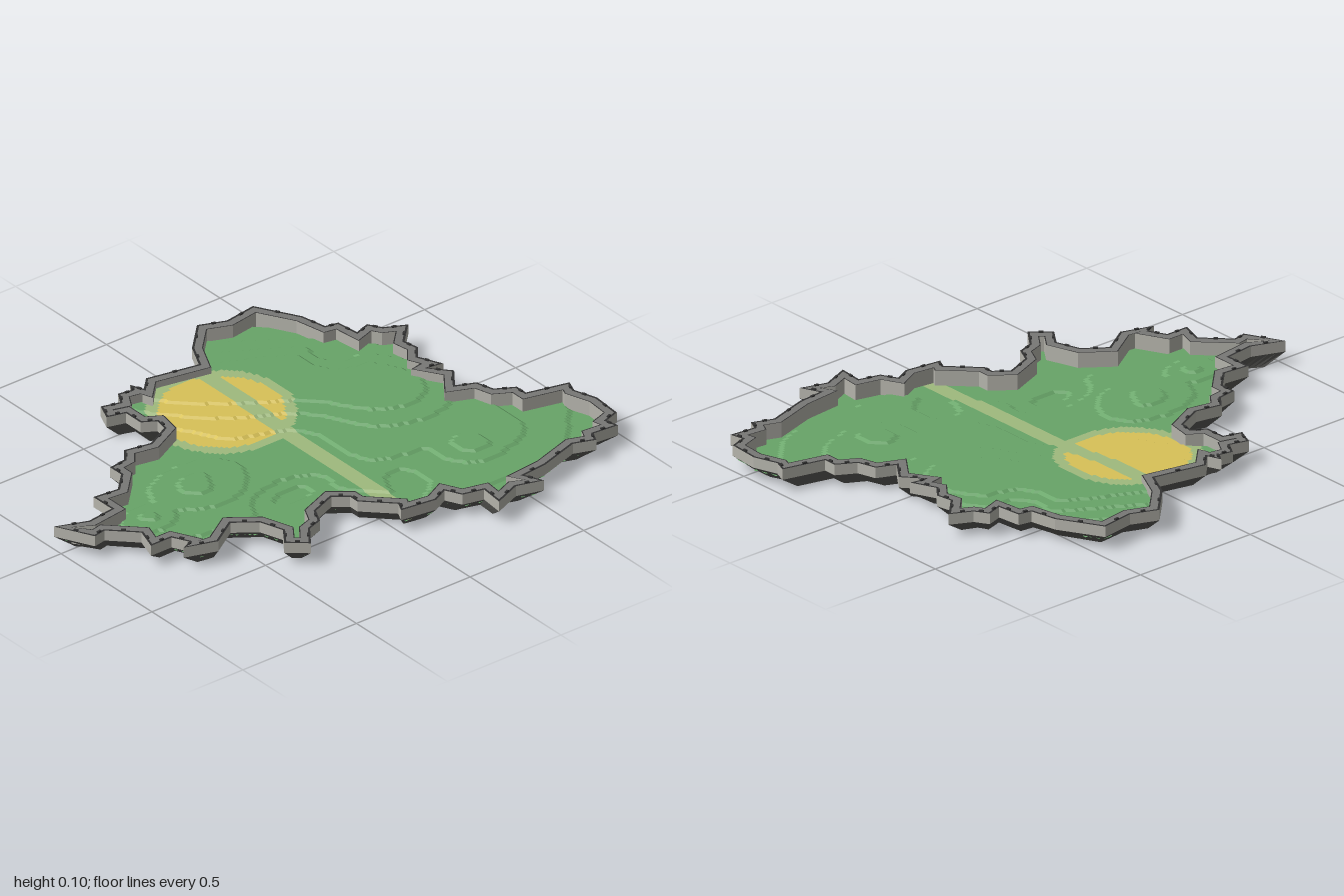
import * as THREE from 'three';

const mat = (name, color) => {
  const m = new THREE.MeshStandardMaterial({ color, side: THREE.DoubleSide, flatShading: true });
  m.name = name;
  return m;
};

// Coastline as x, z pairs, running clockwise seen from above
const COAST = [
  -1, -.04, -.88, .005, -.77, -.01, -.77, -.11, -.67, -.1, -.6, -.17, -.6, -.23, -.53, -.24, -.49, -.29,
  -.39, -.27, -.29, -.32, -.28, -.37, -.33, -.4, -.33, -.48, -.4, -.5, -.37, -.57, -.3, -.55, -.27, -.6,
  -.22, -.59, -.2, -.62, -.18, -.57, -.13, -.62, .07, -.58, .12, -.68, .23, -.79, .33, -.75, .46, -.77,
  .55, -.61, .57, -.51, .62, -.5, .63, -.41, .69, -.43, .72, -.38, .8, -.34, .72, -.26, .73, -.2,
  .69, -.15, .73, -.06, .67, -.07, .73, 0, .67, .08, .74, .11, .76, .18, .83, .22, .83, .27,
  .99, .31, .97, .36, 1, .45, .99, .57, .93, .59, .94, .64, .84, .63, .82, .67, .74, .64,
  .58, .69, .48, .7, .51, .77, .41, .74, .3, .785, .31, .69, .23, .67, .2, .61, .14, .64,
];
const outer = [];
for (let i = 0; i < COAST.length; i += 2) outer.push([COAST[i], COAST[i + 1]]);
// South-west inlets
outer.push([0, .62], [.02, .58], [-.08, .48], [-.08, .44], [-.13, .4], [-.23, .44], [-.26, .5], [-.32, .52],
  [-.38, .6], [-.45, .54], [-.4, .47], [-.43, .38], [-.51, .32], [-.62, .39], [-.74, .35], [-.7, .33],
  [-.73, .27], [-.82, .27], [-.79, .18], [-.88, .09], [-.93, .1]);

// Move a loop inward by d along its mitred corners
function inset(loop, d) {
  const n = loop.length;
  const normal = (a, b) => {
    const dx = b[0] - a[0], dz = b[1] - a[1], l = Math.hypot(dx, dz);
    return [-dz / l, dx / l];
  };
  return loop.map((p, i) => {
    const u = normal(loop[(i + n - 1) % n], p), v = normal(p, loop[(i + 1) % n]);
    const k = d / Math.max(.45, 1 + u[0] * v[0] + u[1] * v[1]);
    return [p[0] + (u[0] + v[0]) * k, p[1] + (u[1] + v[1]) * k];
  });
}

// Split every side of a loop into equal parts
function divide(loop, parts) {
  return loop.flatMap((p, i) => {
    const q = loop[(i + 1) % loop.length];
    return Array.from({ length: parts }, (_, k) => [p[0] + (q[0] - p[0]) * k / parts, p[1] + (q[1] - p[1]) * k / parts]);
  });
}

function meshFrom(name, pos, material) {
  const g = new THREE.BufferGeometry();
  g.setAttribute('position', new THREE.Float32BufferAttribute(pos, 3));
  g.computeVertexNormals();
  const m = new THREE.Mesh(g, material);
  m.name = name;
  return m;
}

// Closed strip of quads from loop a at height ya to loop b at height yb
function band(name, a, ya, b, yb, material) {
  const pos = [];
  a.forEach((p, i) => {
    const j = (i + 1) % a.length, q = a[j], r = b[j], s = b[i];
    pos.push(p[0], ya, p[1], s[0], yb, s[1], r[0], yb, r[1]);
    pos.push(p[0], ya, p[1], r[0], yb, r[1], q[0], ya, q[1]);
  });
  return meshFrom(name, pos, material);
}

function inside(loop, x, z) {
  let hit = false;
  for (let i = 0, j = loop.length - 1; i < loop.length; j = i++) {
    const [ax, az] = loop[i], [bx, bz] = loop[j];
    if ((az > z) !== (bz > z) && x < (bx - ax) * (z - az) / (bz - az) + ax) hit = !hit;
  }
  return hit;
}

// Flat-topped hills and hollows as x, z, radius in x, radius in z, height
const HILLS = [
  [-.36, 0, .16, .14, .01], [-.68, .07, .09, .08, .01], [-.5, 0, .5, .27, .009],
  [.5, .37, .1, .1, .009], [.5, .2, .45, .38, .012], [.48, -.36, .09, .1, -.009],
  [-.17, .22, .14, .07, -.008], [.2, .4, .07, .09, -.009],
];
const STEP = .008;
function height(x, z) {
  // Ridge running diagonally through the arena
  const along = .82 * (x - .2) + .57 * (z + .4), across = -.57 * (x - .2) + .82 * (z + .4);
  let h = .009 + .036 * Math.exp(-((across / .27) ** 2) - (along / .6) ** 4);
  for (const [hx, hz, rx, rz, a] of HILLS) h += a * Math.exp(-((((x - hx) / rx) ** 2 + ((z - hz) / rz) ** 2) ** 2));
  h += .002 * Math.sin(9 * x + 4 * z) * Math.sin(8 * z - 3 * x);
  return .025 + STEP * Math.min(5, Math.max(0, Math.round(h / STEP)));
}

export function createModel() {
  const group = new THREE.Group();
  const grass = mat('grass green', 0x68a568);
  const sand = mat('sand yellow', 0xd8c258);
  const track = mat('pale track', 0x9fba7e);
  const stone = mat('light stone', 0xb4b3ab);
  const rimGrey = mat('rim grey', 0x787876);
  const rock = mat('dark rock', 0x5a5a57);
  const edge = mat('edge charcoal', 0x333333);

  // Terraced ground, split by colour: grass, sand arena, pale border and path
  const ground = inset(outer, .018);
  const cells = { grass: [], sand: [], track: [] };
  const S = .0125;
  for (let i = -80; i < 80; i++) for (let j = -64; j < 64; j++) {
    const x = i * S, z = j * S, cx = x + S / 2, cz = z + S / 2;
    if (!inside(ground, cx, cz)) continue;
    const d = Math.hypot(cx + .03, cz + .33);
    const onPath = cx > .036 && cx < .1 && cz > -.57;
    const kind = onPath ? 'track' : d < .22 ? 'sand' : d < .26 ? 'track' : 'grass';
    const a = [x, height(x, z), z], b = [x, height(x, z + S), z + S];
    const c = [x + S, height(x + S, z + S), z + S], e = [x + S, height(x + S, z), z];
    cells[kind].push(...a, ...b, ...c, ...a, ...c, ...e);
  }
  group.add(meshFrom('grassGround', cells.grass, grass));
  group.add(meshFrom('sandArena', cells.sand, sand));
  group.add(meshFrom('pathAndBorder', cells.track, track));

  // Boundary wall with dark-edged top
  const TOP = .09, MID = .05;
  const a = inset(outer, .008), b = inset(outer, .034), c = inset(outer, .038);
  group.add(band('outerWall', outer, MID, outer, TOP, stone));
  group.add(band('rimOuterEdge', outer, TOP, a, TOP, edge));
  group.add(band('rimTop', a, TOP, b, TOP, rimGrey));
  group.add(band('rimInnerEdge', b, TOP, c, TOP, edge));
  group.add(band('innerWall', c, TOP, c, .024, stone));

  // Craggy rock skirt tapering inward below the wall
  const foot = divide(inset(outer, .03), 4).map(([x, z], i) => {
    const k = .965 + .007 * Math.sin(i * 12.9);
    return [x * k, z * k];
  });
  group.add(band('rockSkirt', divide(outer, 4), MID, foot, 0, rock));

  // Low dark studs along the wall
  const studs = new THREE.Group();
  studs.name = 'wallStuds';
  const studGeo = new THREE.BoxGeometry(.016, .007, .008);
  a.forEach((p, i) => {
    const q = a[(i + 1) % a.length];
    const stud = new THREE.Mesh(studGeo, edge);
    stud.name = 'wallStud';
    stud.position.set((p[0] + q[0]) / 2, TOP + .002, (p[1] + q[1]) / 2);
    stud.rotation.y = -Math.atan2(q[1] - p[1], q[0] - p[0]);
    studs.add(stud);
  });
  group.add(studs);
  return group;
}
